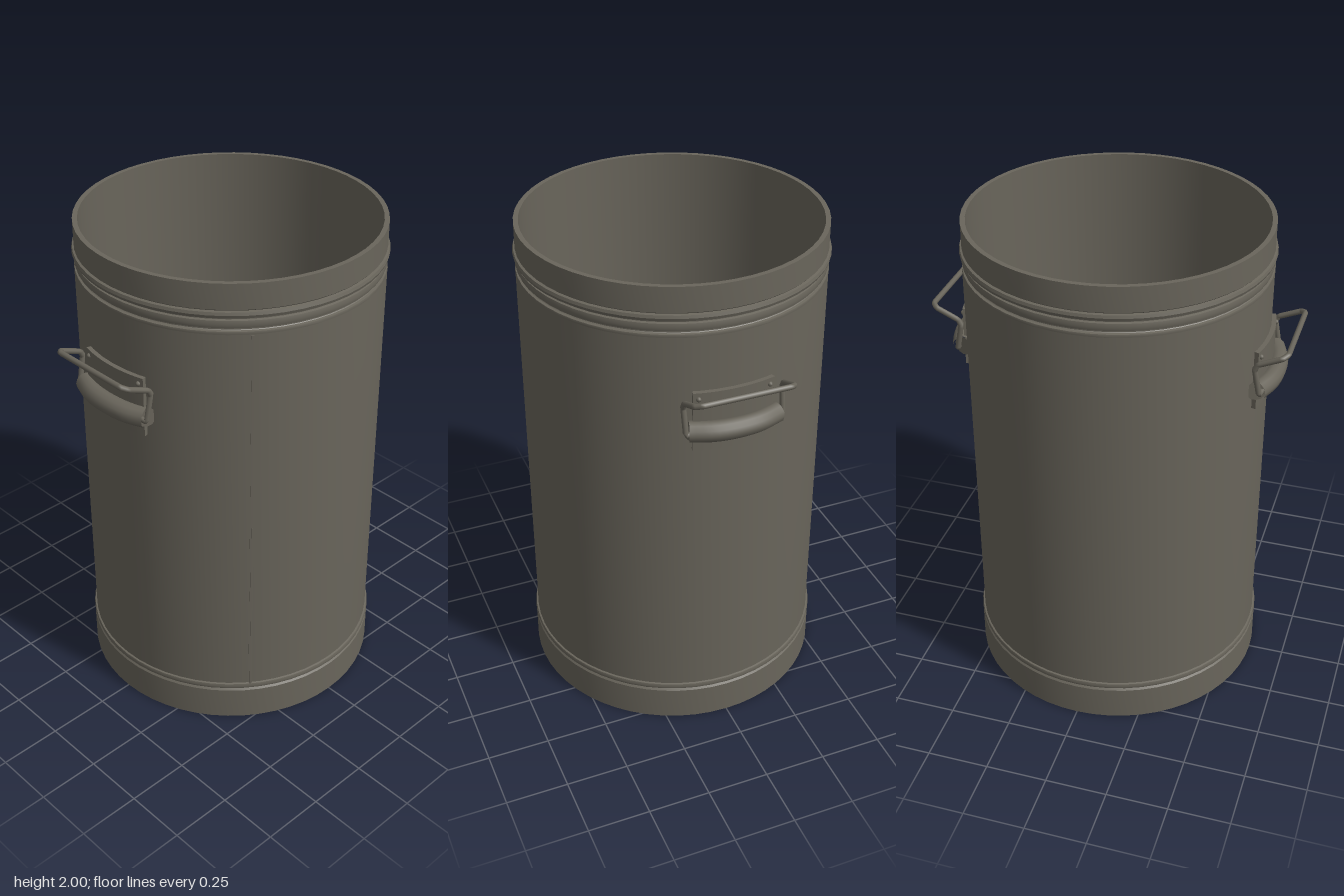
import * as THREE from 'three';
import { toCreasedNormals } from 'three/addons/utils/BufferGeometryUtils.js';

const SEG = 56;

export function createModel() {
  const metal = new THREE.MeshStandardMaterial({ color: 0x69655b });
  metal.name = 'dull grey metal';
  const model = new THREE.Group();
  model.name = 'metalBin';

  const add = (parent, name, geometry) => {
    const mesh = new THREE.Mesh(geometry, metal);
    mesh.name = name;
    parent.add(mesh);
    return mesh;
  };

  // Revolved part from [radius, height] pairs, outside listed bottom to top
  const lathe = (points, segments = SEG, start = 0, length = Math.PI * 2) => toCreasedNormals(
    new THREE.LatheGeometry(points.map(([r, y]) => new THREE.Vector2(r, y)), segments, start, length), 0.6);

  // Thin curved sheet wrapped on the body, closed on all sides
  const wrappedPlate = (inner, outer, y0, y1, centre, half) => {
    const shape = new THREE.Shape();
    shape.absarc(0, 0, outer, centre - half, centre + half, false);
    shape.absarc(0, 0, inner, centre + half, centre - half, true);
    const geo = new THREE.ExtrudeGeometry(shape, { depth: y1 - y0, bevelEnabled: false, curveSegments: 10 });
    geo.rotateX(-Math.PI / 2);
    geo.translate(0, y0, 0);
    return toCreasedNormals(geo, 0.6);
  };

  // Hollow drum with rim and inner floor
  add(model, 'drum', lathe([
    [0.59, 0.02], [0.595, 0.15], [0.595, 1.81], [0.583, 1.82], [0.583, 1.89],
    [0.592, 1.9], [0.592, 2], [0.573, 2], [0.573, 0.03], [0, 0.03],
  ]));

  // Foot band and underside
  add(model, 'foot', lathe([
    [0, 0], [0.604, 0], [0.604, 0.142], [0.596, 0.152], [0.585, 0.152],
  ]));

  // Rolled beads around the drum
  const bead = (name, r, y, h, bulge) => add(model, name, lathe([
    [r - 0.01, y - h], [r + bulge * 0.7, y - h * 0.7], [r + bulge, y],
    [r + bulge * 0.7, y + h * 0.7], [r - 0.01, y + h],
  ]));
  bead('footBead', 0.595, 0.165, 0.015, 0.01);
  bead('lowerNeckBead', 0.59, 1.808, 0.011, 0.006);
  bead('middleNeckBead', 0.583, 1.843, 0.02, 0.012);
  bead('upperNeckBead', 0.59, 1.882, 0.016, 0.012);

  // Overlapping sheet seam, thicker in the lower half
  const seamAngle = Math.atan2(-0.48, -0.35);
  add(model, 'seam', wrappedPlate(0.59, 0.597, 0.17, 1.8, seamAngle, 0.012));
  add(model, 'lowerSeam', wrappedPlate(0.59, 0.601, 0.17, 0.97, seamAngle, 0.004));

  // Handle on the +x side; the other one is turned half round
  const makeHandle = (name) => {
    const handle = new THREE.Group();
    handle.name = name;
    add(handle, 'mountPlate', wrappedPlate(0.585, 0.612, 1.34, 1.585, 0, 0.265));

    // Bowed sleeve that holds the bail
    const bow = new THREE.CatmullRomCurve3([
      new THREE.Vector3(0.592, 1.43, 0.175), new THREE.Vector3(0.622, 1.43, 0.09),
      new THREE.Vector3(0.631, 1.43, 0), new THREE.Vector3(0.622, 1.43, -0.09),
      new THREE.Vector3(0.592, 1.43, -0.175),
    ]);
    add(handle, 'sleeve', new THREE.TubeGeometry(bow, 14, 0.04, 12, false));
    for (const s of [1, -1]) {
      const end = new THREE.CircleGeometry(0.04, 12);
      if (s < 0) end.rotateY(Math.PI);
      end.rotateY(s * 0.34);
      end.translate(0.592, 1.43, s * 0.175);
      add(handle, 'sleeveEnd', end);

      const rivet = add(handle, 'rivet', new THREE.SphereGeometry(0.01, 8, 6));
      rivet.position.set(0.596, 1.56, s * 0.14);
    }

    // Bent wire bail with chamfered corners
    const side = [
      [0.612, 1.43, 0.16], [0.606, 1.425, 0.192], [0.585, 1.535, 0.195],
      [0.595, 1.555, 0.195], [0.685, 1.594, 0.193], [0.703, 1.602, 0.172],
    ];
    const mirrored = side.map(([x, y, z]) => [x, y, -z]).reverse();
    const corners = [...side, ...mirrored].map((p) => new THREE.Vector3(...p));
    const path = new THREE.CurvePath();
    for (let i = 1; i < corners.length; i++) path.add(new THREE.LineCurve3(corners[i - 1], corners[i]));
    add(handle, 'bail', new THREE.TubeGeometry(path, 90, 0.011, 8, false));
    model.add(handle);
    return handle;
  };
  makeHandle('leftHandle');
  makeHandle('rightHandle').rotation.y = Math.PI;

  return model;
}
